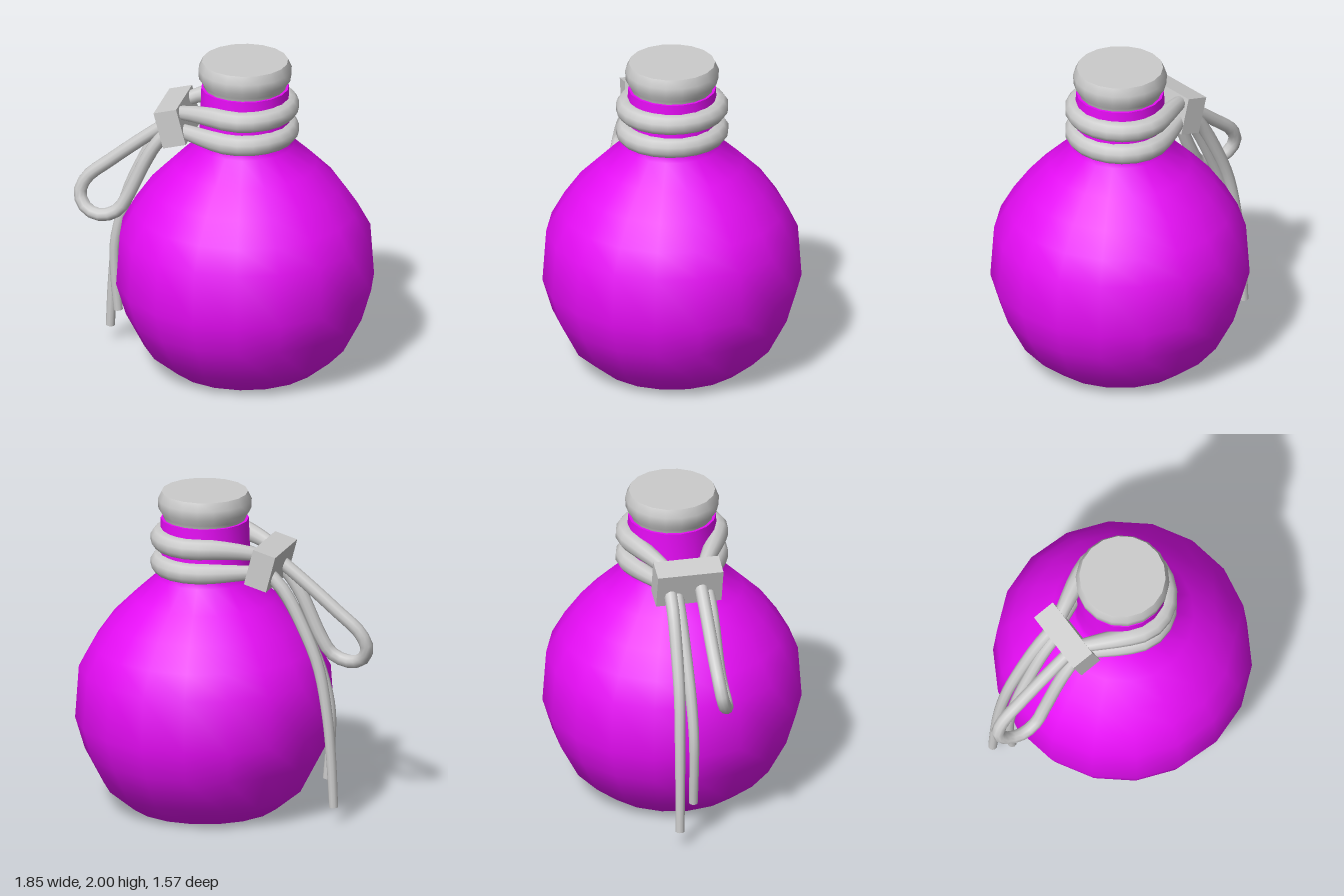
import * as THREE from 'three';
import { toCreasedNormals } from 'three/addons/utils/BufferGeometryUtils.js';

const AXIS_X = 0.13; // the flask's axis; the tied cord hangs off to -x

const V = (p) => new THREE.Vector3(...p);

export function createModel() {
  const group = new THREE.Group();
  const grey = new THREE.MeshStandardMaterial({ color: 0xcccccc });
  const purple = new THREE.MeshStandardMaterial({ color: 0xe60cf5 });

  const add = (name, geometry, material = grey) => {
    const mesh = new THREE.Mesh(geometry, material);
    mesh.name = name;
    group.add(mesh);
    return mesh;
  };

  // Turned part from [radius, y] pairs, with a corner on the x axis
  const turned = (name, profile, segments, material) => {
    const points = profile.map(([r, y]) => new THREE.Vector2(r, y));
    const lathe = new THREE.LatheGeometry(points, segments, Math.PI / 2);
    add(name, toCreasedNormals(lathe, 0.75), material).position.x = AXIS_X;
  };

  // Cord along a smooth path, its radius a function of the distance t along it
  const cord = (name, points, radiusAt, segments, capped = false) => {
    const sides = 10;
    const curve = new THREE.CatmullRomCurve3(points.map(V), false, 'centripetal');
    const tube = new THREE.TubeGeometry(curve, segments, 1, sides);
    const pos = tube.attributes.position;
    const v = new THREE.Vector3();
    for (let i = 0; i <= segments; i++) {
      const centre = curve.getPointAt(i / segments);
      for (let j = 0; j <= sides; j++) {
        const k = i * (sides + 1) + j;
        v.fromBufferAttribute(pos, k).sub(centre).multiplyScalar(radiusAt(i / segments)).add(centre);
        pos.setXYZ(k, v.x, v.y, v.z);
      }
    }
    add(name, tube);
    if (capped) {
      const cap = add(name + 'End', new THREE.CircleGeometry(radiusAt(1), sides));
      cap.position.copy(curve.getPointAt(1));
      cap.quaternion.setFromUnitVectors(V([0, 0, 1]), curve.getTangentAt(1));
    }
  };

  // Round flask with a narrow neck
  turned('flask', [
    [0, 0], [0.46, 0], [0.62, 0.13], [0.735, 0.35], [0.795, 0.55], [0.772, 0.88],
    [0.69, 1.03], [0.585, 1.18], [0.44, 1.325], [0.3, 1.455], [0.288, 1.5],
    [0.277, 1.63], [0.27, 1.83], [0, 1.83],
  ], 18, purple);

  // Bulging stopper
  turned('stopper', [
    [0, 1.815], [0.25, 1.815], [0.258, 1.85], [0.285, 1.89], [0.288, 1.95],
    [0.265, 2], [0, 2],
  ], 18, grey);

  // Two cord wraps, thick round the neck and thinner where they enter the clasp
  const wrap = (name, y, claspY) => {
    const points = [[-0.29, claspY, 0.1], [-0.2, (claspY + y) / 2, 0.15]];
    for (let i = 0; i <= 8; i++) {
      const a = (-120 + 30 * i) * Math.PI / 180;
      points.push([AXIS_X + 0.268 * Math.cos(a), y, -0.285 * Math.sin(a)]);
    }
    points.push([-0.2, (claspY + y) / 2, -0.15], [-0.29, claspY, -0.1]);
    const radius = (t) => 0.04 + 0.026 * Math.min(1, Math.min(t, 1 - t) / 0.2);
    cord(name, points, radius, 22);
  };
  wrap('upperWrap', 1.705, 1.65);
  wrap('lowerWrap', 1.55, 1.55);

  // Slanted clasp
  const clasp = add('clasp', new THREE.BoxGeometry(0.148, 0.235, 0.41));
  clasp.position.set(-0.295, 1.585, 0.005);
  clasp.rotation.z = 0.26;

  // Bow loop
  cord('bowLoop', [
    [-0.3, 1.6, 0.08], [-0.5, 1.45, 0.08], [-0.7, 1.29, 0.08], [-0.85, 1.16, 0.085],
    [-0.888, 1.06, 0.1], [-0.84, 0.975, 0.13], [-0.74, 0.95, 0.155], [-0.64, 0.99, 0.155],
    [-0.58, 1.08, 0.145], [-0.45, 1.36, 0.135], [-0.38, 1.47, 0.13], [-0.3, 1.56, 0.12],
  ], () => 0.041, 32);

  // Two hanging cord ends
  const taper = (t) => 0.042 - 0.014 * t;
  cord('longTail', [
    [-0.3, 1.57, -0.11], [-0.42, 1.45, -0.11], [-0.55, 1.22, -0.115],
    [-0.65, 0.98, -0.12], [-0.71, 0.68, -0.13], [-0.738, 0.4, -0.135], [-0.755, 0.1, -0.14],
  ], taper, 20, true);
  cord('shortTail', [
    [-0.3, 1.55, -0.07], [-0.41, 1.42, -0.065], [-0.53, 1.2, -0.055],
    [-0.64, 0.95, -0.045], [-0.7, 0.7, -0.04], [-0.7, 0.48, -0.04], [-0.68, 0.25, -0.04],
  ], taper, 20, true);

  return group;
}
